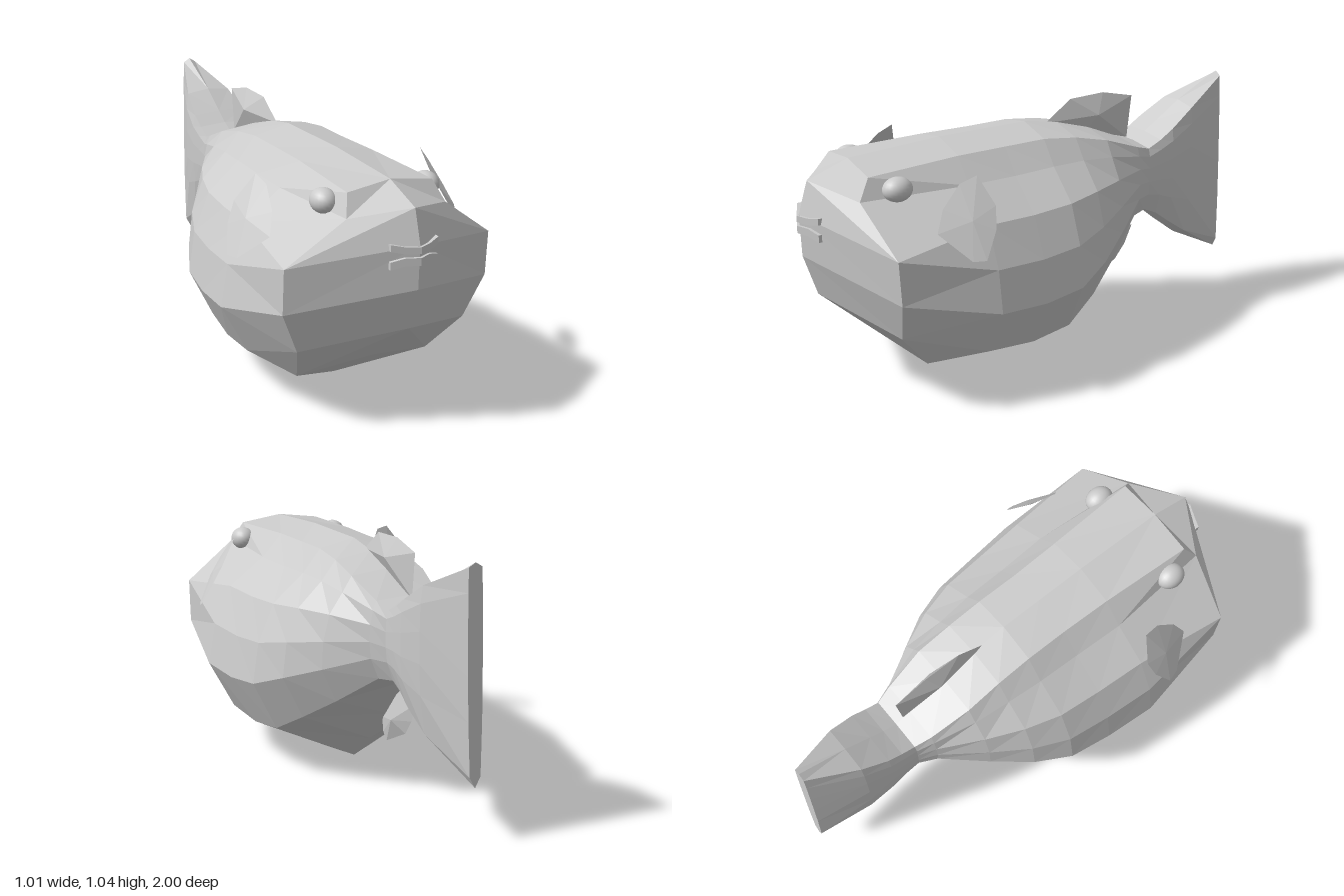
import * as THREE from 'three';

const flat = new THREE.MeshStandardMaterial({ color: 0xcccccc, flatShading: true });
const thin = new THREE.MeshStandardMaterial({ color: 0xcccccc, flatShading: true, side: THREE.DoubleSide });
const smooth = new THREE.MeshStandardMaterial({ color: 0xcccccc });

function build(positions, index) {
  const g = new THREE.BufferGeometry();
  g.setAttribute('position', new THREE.Float32BufferAttribute(positions.flat(), 3));
  g.setIndex(index);
  g.computeVertexNormals();
  return g;
}

function add(parent, name, geometry, material) {
  const mesh = new THREE.Mesh(geometry, material);
  mesh.name = name;
  parent.add(mesh);
  return mesh;
}

// Half outlines from keel to back: plump belly and boxier tail, as fractions of width and height
const BELLY = [[0, 0], [0.78, 0.185], [1, 0.4], [0.94, 0.58], [0.79, 0.745], [0.49, 0.865], [0.32, 0.965], [0, 1]];
const TAIL = [[0, 0], [0.75, 0.05], [0.95, 0.3], [1, 0.5], [1, 0.7], [0.98, 0.87], [0.9, 0.98], [0, 1]];

// Body and tail sections: z, bottom, top, half width, belly-to-tail blend
const SECTIONS = [
  [0.39, 0.025, 0.97, 0.5, 0],
  [0.18, 0.005, 0.97, 0.48, 0],
  [0, 0.035, 0.97, 0.455, 0.03],
  [-0.15, 0.155, 0.945, 0.39, 0.13],
  [-0.3, 0.305, 0.9, 0.29, 0.38],
  [-0.47, 0.485, 0.825, 0.165, 0.85],
  [-0.54, 0.5, 0.8, 0.13, 1],
  [-0.6, 0.47, 0.83, 0.13, 1],
  [-0.66, 0.42, 0.87, 0.13, 1],
  [-0.77, 0.335, 0.945, 0.11, 1],
  [-0.97, 0.22, 1.045, 0.03, 1],
];

// Face: ridge down the middle and the edge where it meets the flanks
const RIDGE = [[0, 0.22, 0.69], [0, 0.42, 0.93], [0, 0.59, 0.985], [0, 0.76, 0.99], [0, 0.89, 0.95], [0, 0.95, 0.78]];
const CHEEK = [[0.29, 0.16, 0.61], [0.365, 0.33, 0.75], [0.44, 0.5, 0.78], [0.44, 0.68, 0.79], [0.21, 0.845, 0.83], [0.18, 0.925, 0.78]];

function bodyGeometry() {
  const halves = [
    [RIDGE[0], ...RIDGE, RIDGE[5]],
    [RIDGE[0], ...CHEEK, RIDGE[5]],
  ];
  SECTIONS.forEach(([z, bottom, top, w, k], s) => {
    const slant = s === SECTIONS.length - 1 ? 0.03 : 0;
    halves.push(BELLY.map(([bx, by], j) => {
      const fx = THREE.MathUtils.lerp(bx, TAIL[j][0], k);
      const fy = THREE.MathUtils.lerp(by, TAIL[j][1], k);
      return [fx * w, bottom + fy * (top - bottom), z - slant * (1 - fy)];
    }));
  });
  // Mirror each half into a full ring, with mirrored diagonals too
  const rings = halves.map(h => [...h, ...h.slice(1, -1).reverse().map(([x, y, z]) => [-x, y, z])]);
  const n = rings[0].length;
  const index = [];
  for (let i = 0; i < rings.length - 1; i++) {
    for (let j = 0; j < n; j++) {
      const a = i * n + j, b = i * n + (j + 1) % n;
      if (j < n / 2) index.push(a, a + n, b, b, a + n, b + n);
      else index.push(a, a + n, b + n, a, b + n, b);
    }
  }
  // Close the rear edge of the tail
  const last = (rings.length - 1) * n;
  for (let j = 1; j < n - 1; j++) index.push(last, last + j + 1, last + j);
  return build(rings.flat(), index);
}

// Fin swollen in the middle; outline is [z, y], xAt places it sideways
function finGeometry(outline, thickness, xAt = () => 0) {
  const pts = outline.map(([z, y]) => [xAt(z, y), y, z]);
  const n = pts.length;
  const c = [0, 1, 2].map(a => pts.reduce((sum, p) => sum + p[a], 0) / n);
  pts.push([c[0] + thickness, c[1], c[2]], [c[0] - thickness, c[1], c[2]]);
  const index = [];
  for (let i = 0; i < n; i++) {
    const j = (i + 1) % n;
    index.push(n, i, j, n + 1, j, i);
  }
  return build(pts, index);
}

// Lip: a thin bar bent back around the snout, its ends flicked up or down
function lipGeometry(y, height, flick) {
  const g = new THREE.BoxGeometry(0.2, height, 0.05, 4, 1, 1);
  const p = g.attributes.position;
  for (let i = 0; i < p.count; i++) {
    const x = Math.abs(p.getX(i));
    p.setY(i, p.getY(i) + y + (x > 0.09 ? flick : 0));
    p.setZ(i, p.getZ(i) + 0.975 - 0.45 * x);
  }
  g.computeVertexNormals();
  return g;
}

export function createModel() {
  const fish = new THREE.Group();
  fish.name = 'fish';

  add(fish, 'bodyAndTail', bodyGeometry(), flat);

  add(fish, 'dorsalFin', finGeometry(
    [[-0.1, 0.945], [-0.22, 1.03], [-0.38, 1.035], [-0.525, 1], [-0.505, 0.82], [-0.3, 0.88]], 0.035), thin);
  add(fish, 'analFin', finGeometry(
    [[-0.4, 0.45], [-0.545, 0.41], [-0.51, 0.33], [-0.46, 0.265], [-0.3, 0.19], [-0.27, 0.22], [-0.26, 0.28]], 0.03), thin);

  // Mouth
  const mouth = new THREE.Group();
  mouth.name = 'mouth';
  add(mouth, 'upperLip', lipGeometry(0.745, 0.026, 0.01), flat);
  add(mouth, 'lowerLip', lipGeometry(0.702, 0.03, -0.015), flat);
  fish.add(mouth);

  // Paired eyes and side fins
  const pectoral = [[0.61, 0.74], [0.57, 0.82], [0.49, 0.9], [0.42, 0.925], [0.38, 0.82], [0.4, 0.74], [0.46, 0.64], [0.51, 0.64]];
  for (const side of [1, -1]) {
    const label = side > 0 ? 'left' : 'right';
    const eye = add(fish, label + 'Eye', new THREE.SphereGeometry(0.05, 20, 14), smooth);
    eye.scale.set(1, 0.96, 1.2);
    eye.position.set(side * 0.22, 0.873, 0.68);
    add(fish, label + 'PectoralFin', finGeometry(pectoral, 0.012,
      (z, y) => side * (0.412 - 0.55 * (y - 0.8) - 0.33 * (z - 0.48))), thin);
  }
  return fish;
}
